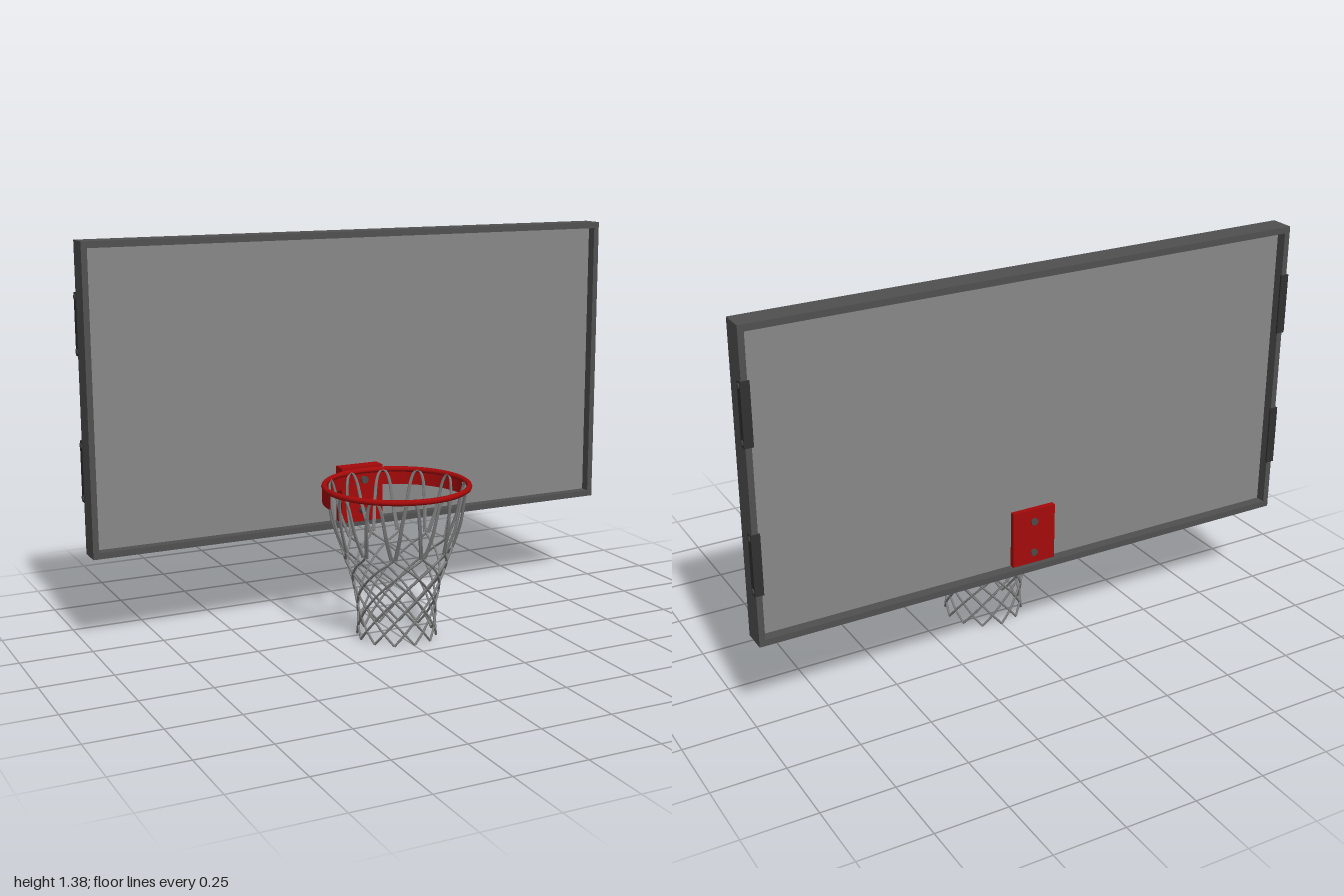
import * as THREE from 'three';

const mat = (name, color, extra = {}) => new THREE.MeshStandardMaterial({ name, color, ...extra });

export function createModel() {
  const model = new THREE.Group();
  model.name = 'basketballHoop';
  const frameGrey = mat('frameGrey', 0x505050);
  const panelGrey = mat('panelGrey', 0x888888);
  const rimRed = mat('rimRed', 0xa50a0a);
  const bandRed = rimRed.clone();
  bandRed.side = THREE.DoubleSide;
  const bracketDark = mat('bracketDark', 0x303030);
  const boltGrey = mat('boltGrey', 0x4a4a4a);
  const netGrey = mat('netGrey', 0x808080);

  const add = (name, geometry, material, x = 0, y = 0, z = 0, parent = model) => {
    const mesh = new THREE.Mesh(geometry, material);
    mesh.name = name;
    mesh.position.set(x, y, z);
    parent.add(mesh);
    return mesh;
  };
  const box = (name, x0, x1, y0, y1, z0, z1, material, parent) =>
    add(name, new THREE.BoxGeometry(x1 - x0, y1 - y0, z1 - z0), material,
      (x0 + x1) / 2, (y0 + y1) / 2, (z0 + z1) / 2, parent);

  // Backboard frame: rectangle with a rectangular opening
  const rect = (P, x, y0, y1) => {
    const p = new P();
    p.moveTo(-x, y0);
    p.lineTo(x, y0);
    p.lineTo(x, y1);
    p.lineTo(-x, y1);
    p.closePath();
    return p;
  };
  const outline = rect(THREE.Shape, 0.992, 0.328, 1.385);
  outline.holes.push(rect(THREE.Path, 0.972, 0.35, 1.363));
  add('backboardFrame', new THREE.ExtrudeGeometry(outline, { depth: 0.085, bevelEnabled: false }),
    frameGrey, 0, 0, -0.31);
  box('backboardPanel', -0.973, 0.973, 0.349, 1.364, -0.274, -0.26, panelGrey);

  // L-shaped brackets on the back corners of both sides
  for (const side of [-1, 1]) {
    for (const y of [0.615, 1.11]) {
      const bracket = new THREE.Group();
      bracket.name = 'sideBracket';
      model.add(bracket);
      add('bracketSide', new THREE.BoxGeometry(0.006, 0.21, 0.026), bracketDark,
        side * 0.994, y, -0.302, bracket);
      add('bracketBack', new THREE.BoxGeometry(0.03, 0.21, 0.006), bracketDark,
        side * 0.982, y, -0.312, bracket);
      for (const dy of [-0.09, 0.09]) {
        const bolt = add('bracketBolt', new THREE.CylinderGeometry(0.009, 0.009, 0.004, 12), boltGrey,
          side * 0.998, y + dy, -0.302, bracket);
        bolt.rotation.z = Math.PI / 2;
      }
    }
  }

  // Mounting plate through the panel, with bolts at front and back
  box('mountingPlate', -0.085, 0.075, 0.348, 0.55, -0.292, -0.21, rimRed);
  for (const y of [0.39, 0.505]) {
    for (const [z, length] of [[-0.198, 0.026], [-0.293, 0.008]]) {
      const bolt = add('plateBolt', new THREE.CylinderGeometry(0.013, 0.013, length, 12), boltGrey, -0.005, y, z);
      bolt.rotation.x = Math.PI / 2;
    }
  }

  // Rim and the band below its rear half
  const cz = 0.052;
  const rim = add('rim', new THREE.TorusGeometry(0.249, 0.01, 10, 64), rimRed, 0, 0.537, cz);
  rim.rotation.x = Math.PI / 2;
  add('rimBand', new THREE.CylinderGeometry(0.256, 0.256, 0.06, 40, 1, true, Math.PI / 2, Math.PI),
    bandRed, 0, 0.511, cz);
  add('rimBandInside', new THREE.CylinderGeometry(0.25, 0.25, 0.06, 40, 1, true, Math.PI / 2, Math.PI),
    bandRed, 0, 0.511, cz);
  const lip = add('rimBandLip', new THREE.RingGeometry(0.25, 0.256, 40, 1, 0, Math.PI), bandRed, 0, 0.481, cz);
  lip.rotation.x = -Math.PI / 2;

  // Net: radius by height, interpolated through a few heights
  const profile = [[0, 0.138], [0.1, 0.134], [0.2, 0.152], [0.3, 0.185], [0.34, 0.2], [0.42, 0.225], [0.54, 0.243]];
  const netRadius = (y) => {
    let i = 1;
    while (i < profile.length - 1 && y > profile[i][0]) i++;
    const [[y0, r0], [y1, r1]] = [profile[i - 1], profile[i]];
    return r0 + (r1 - r0) * (y - y0) / (y1 - y0);
  };
  const point = (angle, y) => new THREE.Vector3(
    Math.sin(angle) * netRadius(y), y, cz + Math.cos(angle) * netRadius(y));

  const net = new THREE.Group();
  net.name = 'net';
  model.add(net);
  const loops = 12, half = Math.PI / loops, knotY = 0.325, rows = 8;
  // Half of one loop as [angle in half cells, height], from the arch downward
  const arch = [[0.2, 0.53], [0.38, 0.505], [0.52, 0.46], [0.64, 0.41], [0.8, 0.36]];
  const weave = Array.from({ length: rows + 1 }, (_, i) => [1 + i, 0.004 + (knotY - 0.004) * (1 - i / rows)]);
  const cord = (name, centre, side, squeeze, radius, segments) => {
    const left = side.map(([a, y]) => point(centre - a * half * squeeze, y)).reverse();
    const right = side.map(([a, y]) => point(centre + a * half * squeeze, y));
    const curve = new THREE.CatmullRomCurve3([...left, point(centre, 0.538), ...right]);
    add(name, new THREE.TubeGeometry(curve, segments, radius, 5), netGrey, 0, 0, 0, net);
  };
  for (let i = 0; i < loops; i++) {
    const centre = (i + 0.5) * 2 * half;
    // Full cord running from the bottom edge, over the rim and back down
    cord('netCord', centre, [...arch, ...weave], 1, 0.0042, 110);
    // Second strand doubling the hanging loop
    cord('netLoop', centre, [...arch, [0.95, knotY]], 0.86, 0.0042, 40);
  }
  return model;
}
